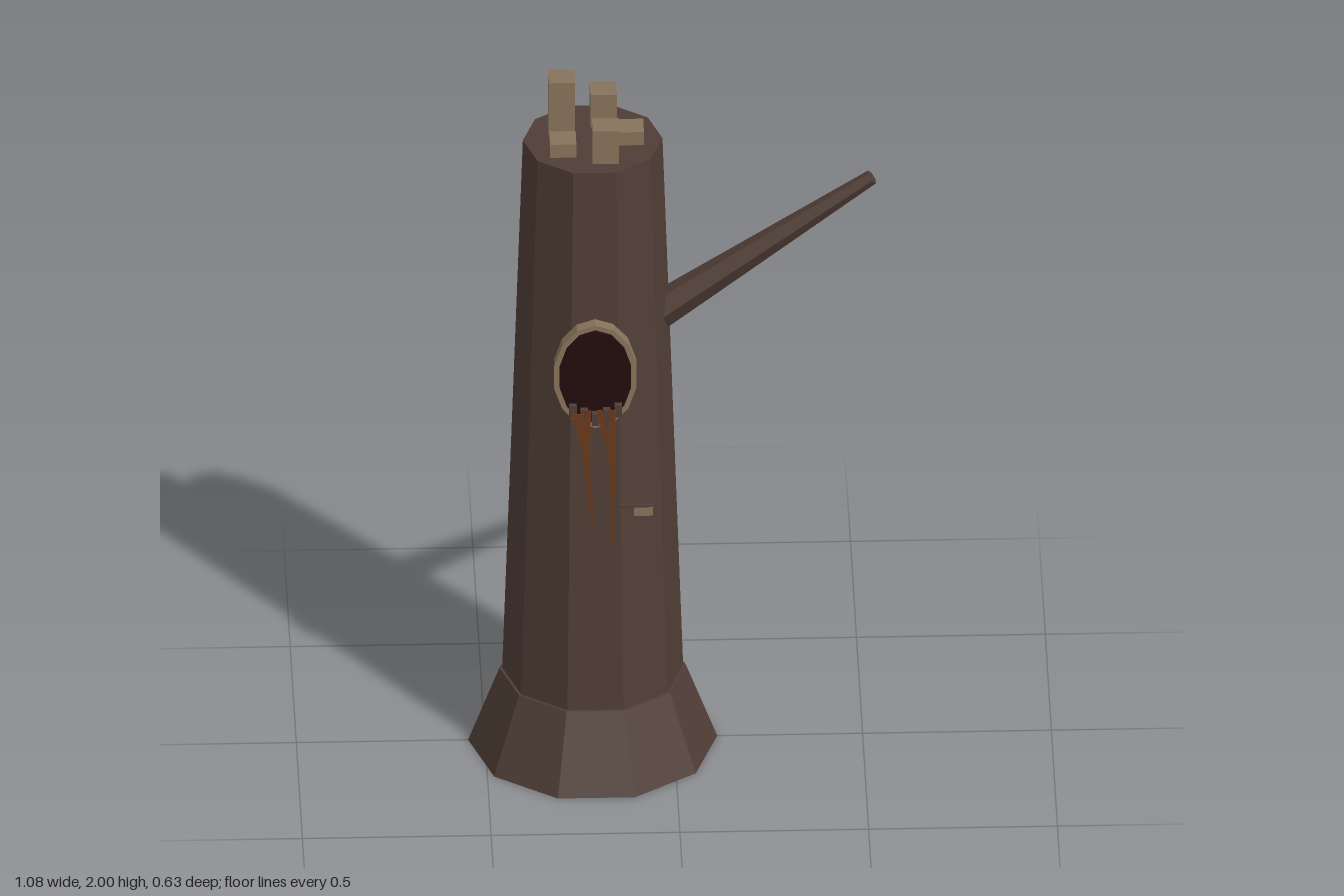
import * as THREE from 'three';

const mat = (name, color, extra = {}) => {
  const m = new THREE.MeshStandardMaterial({ color, flatShading: true, ...extra });
  m.name = name;
  return m;
};

export function createModel() {
  const bark = mat('dark bark', 0x503e36);
  const wood = mat('pale wood', 0x87735b);
  const hollowDark = mat('hollow dark red', 0x230b0d);
  const sap = mat('amber sap', 0x6b3a1a);

  const model = new THREE.Group();
  model.name = 'deadTree';
  const add = (name, geometry, material, x = 0, y = 0, z = 0, parent = model) => {
    const mesh = new THREE.Mesh(geometry, material);
    mesh.name = name;
    mesh.position.set(x, y, z);
    parent.add(mesh);
    return mesh;
  };

  // Ten-sided trunk and flared foot, offset to balance the branch
  const tree = new THREE.Group();
  tree.name = 'tree';
  tree.position.x = -0.215;
  model.add(tree);
  const ring = (top, bottom, h) => new THREE.CylinderGeometry(top, bottom, h, 10, 1, false, Math.PI / 10);
  add('rootFlare', ring(0.247, 0.33, 0.22), bark, 0, 0.11, 0, tree);
  add('trunk', ring(0.185, 0.24, 1.63), bark, 0, 1.025, 0, tree);

  // Broken splinters standing on the top
  [1.88, 1.94, 1.88, 2.0, 1.94].forEach((top, i) => {
    const a = (i * Math.PI * 2) / 5;
    const h = top - 1.82;
    add('splinter', new THREE.BoxGeometry(0.07, h, 0.07), wood,
      0.1 * Math.cos(a), 1.82 + h / 2, 0.1 * Math.sin(a), tree);
  });

  // Tapered side branch
  const from = new THREE.Vector3(-0.04, 1.31, 0);
  const to = new THREE.Vector3(0.525, 1.71, 0);
  const dir = to.clone().sub(from);
  const mid = from.clone().add(to).multiplyScalar(0.5);
  const branch = add('branch', new THREE.CylinderGeometry(0.02, 0.05, dir.length(), 6), bark, mid.x, mid.y, 0);
  branch.quaternion.setFromUnitVectors(new THREE.Vector3(0, 1, 0), dir.normalize());

  // Oval hollow: pale rim with a dark disc in front
  const oval = (rx, ry, depth) =>
    new THREE.CylinderGeometry(1, 1, depth, 14).rotateX(Math.PI / 2).scale(rx, ry, 1);
  add('hollowRim', oval(0.112, 0.157, 0.035), wood, 0, 1.242, 0.2075, tree);
  add('hollow', oval(0.097, 0.14, 0.01), hollowDark, 0, 1.245, 0.23, tree);

  // Crumbs along the lower lip
  [-0.06, -0.03, 0, 0.03, 0.06].forEach((x, i) => {
    add('lipCrumb', new THREE.BoxGeometry(0.02, 0.035 + 0.012 * (i % 2), 0.02), bark,
      x, 1.125 + 7 * x * x, 0.242, tree);
  });

  // Thin tapering drips: start x, start y, end x, end y
  [
    [-0.255, 1.15, -0.223, 0.82],
    [-0.17, 1.16, -0.172, 0.75],
    [-0.235, 1.16, -0.24, 0.94],
    [-0.205, 1.16, -0.165, 0.96],
    [-0.27, 1.15, -0.245, 1.02],
  ].forEach(([x0, y0, x1, y1]) => {
    const s = new THREE.Shape();
    s.moveTo(x0 - 0.008, y0);
    s.lineTo(x1 - 0.004, y1);
    s.lineTo(x1 + 0.004, y1);
    s.lineTo(x0 + 0.008, y0);
    add('drip', new THREE.ExtrudeGeometry(s, { depth: 0.003, bevelEnabled: false }), sap, 0, 0, 0.26);
  });

  // Small twig with a flat chip hanging from it
  add('twig', new THREE.BoxGeometry(0.085, 0.006, 0.008), bark, -0.11, 0.89, 0.303);
  add('chip', new THREE.BoxGeometry(0.05, 0.028, 0.004), wood, -0.09, 0.873, 0.302);

  return model;
}
